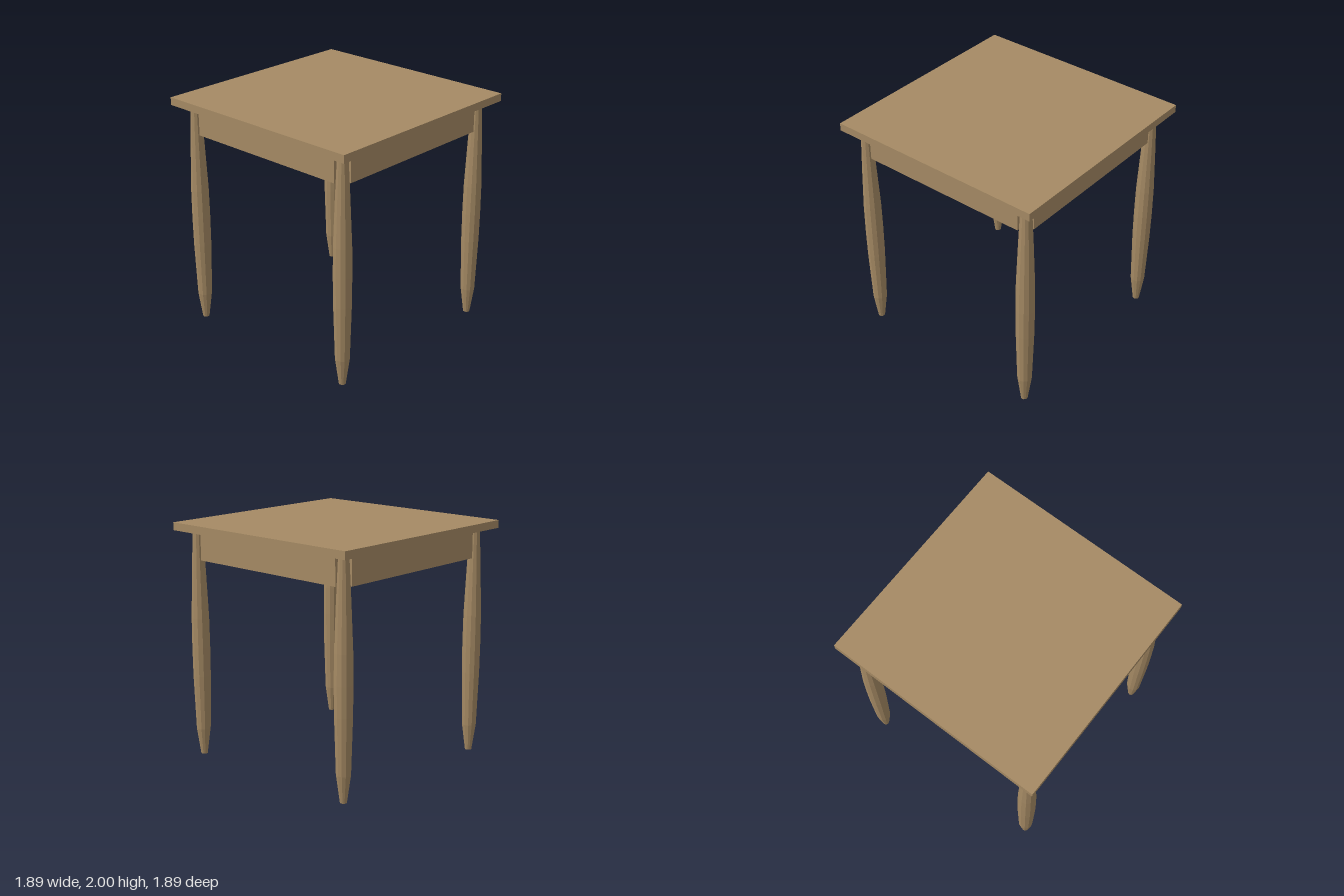
import * as THREE from 'three';

export function createModel() {
  const group = new THREE.Group();
  group.name = 'squareTable';
  const wood = new THREE.MeshStandardMaterial({ color: 0xa58a64, flatShading: true });
  wood.name = 'wood';

  const add = (name, geometry, x, y, z) => {
    const mesh = new THREE.Mesh(geometry, wood);
    mesh.name = name;
    mesh.position.set(x, y, z);
    group.add(mesh);
    return mesh;
  };

  // Flat square top
  add('tableTop', new THREE.BoxGeometry(1.89, 0.065, 1.89), 0, 1.9675, 0);

  // Turned legs: narrow foot, swelling middle, slim top
  const profile = [
    [0, 0], [0.028, 0], [0.06, 0.23], [0.074, 0.7], [0.076, 0.95],
    [0.074, 1.2], [0.058, 1.6], [0.042, 1.937], [0, 1.937],
  ].map(([r, y]) => new THREE.Vector2(r, y));
  const legGeometry = new THREE.LatheGeometry(profile, 12);
  const inset = 0.806;
  for (const [sz, end] of [[1, 'front'], [-1, 'back']]) {
    for (const [sx, side] of [[1, 'Left'], [-1, 'Right']]) {
      add(`${end}${side}Leg`, legGeometry, sx * inset, 0, sz * inset);
    }
  }

  // Apron boards between the legs
  const apronGeometry = new THREE.BoxGeometry(1.49, 0.243, 0.05);
  ['front', 'left', 'back', 'right'].forEach((side, i) => {
    const a = (i * Math.PI) / 2;
    const apron = add(`${side}Apron`, apronGeometry, Math.sin(a) * inset, 1.8145, Math.cos(a) * inset);
    apron.rotation.y = a;
  });

  return group;
}
